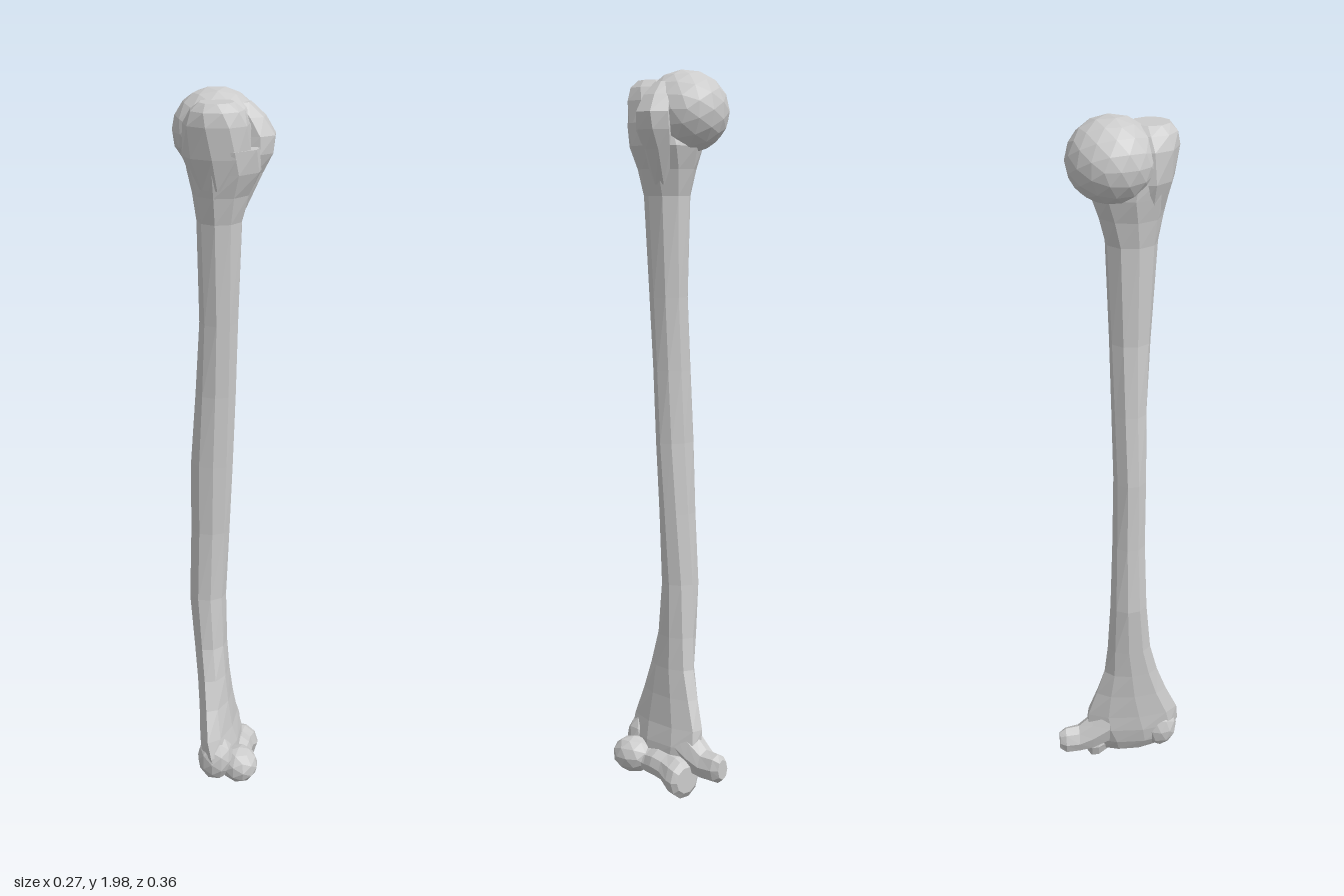
import * as THREE from 'three';

const material = new THREE.MeshStandardMaterial({ color: 0xcccccc, flatShading: true, roughness: 0.8 });

// Closed loft; each section is [height, xMin, xMax, zMin, zMax], rings twist a little as they rise
function loft(sections, sides, twist = 0) {
  const pos = [], idx = [];
  sections.forEach(([y, x0, x1, z0, z1], i) => {
    for (let j = 0; j < sides; j++) {
      const a = (j / sides) * Math.PI * 2 + i * twist;
      pos.push((x0 + x1) / 2 + Math.cos(a) * (x1 - x0) / 2, y, (z0 + z1) / 2 + Math.sin(a) * (z1 - z0) / 2);
    }
  });
  for (let i = 0; i < sections.length - 1; i++) {
    for (let j = 0; j < sides; j++) {
      const a = i * sides + j, b = i * sides + (j + 1) % sides;
      idx.push(a, a + sides, b, b, a + sides, b + sides);
    }
  }
  // End caps
  const top = (sections.length - 1) * sides;
  for (let j = 1; j < sides - 1; j++) {
    idx.push(0, j, j + 1, top, top + j + 1, top + j);
  }
  const geo = new THREE.BufferGeometry();
  geo.setAttribute('position', new THREE.Float32BufferAttribute(pos, 3));
  geo.setIndex(idx);
  const flat = geo.toNonIndexed();
  flat.computeVertexNormals();
  return flat;
}

// Loft running toward -z: sections are [-z, xMin, xMax, yMin, yMax]
const loftBack = (sections, sides) => loft(sections, sides).rotateX(-Math.PI / 2);

export function createModel() {
  const bone = new THREE.Group();
  bone.name = 'upperArmBone';
  const add = (name, geometry) => {
    const mesh = new THREE.Mesh(geometry, material);
    mesh.name = name;
    bone.add(mesh);
    return mesh;
  };
  const knob = (name, detail, center, size, turn = 0) => {
    const mesh = add(name, new THREE.IcosahedronGeometry(1, detail));
    mesh.position.set(...center);
    mesh.scale.set(...size);
    mesh.rotation.y = turn;
    return mesh;
  };

  // Shaft: bowed, flaring into the neck above and a wide blade below
  add('shaft', loft([
    [0.06, -0.02, 0.05, -0.06, 0.12],
    [0.10, -0.04, 0.06, -0.08, 0.165],
    [0.15, -0.05, 0.055, -0.10, 0.18],
    [0.20, -0.052, 0.042, -0.098, 0.175],
    [0.28, -0.058, 0.03, -0.07, 0.14],
    [0.36, -0.066, 0.022, -0.045, 0.112],
    [0.45, -0.077, 0.015, -0.035, 0.09],
    [0.60, -0.092, 0.012, -0.027, 0.077],
    [0.80, -0.087, 0.022, -0.02, 0.072],
    [1.00, -0.085, 0.032, -0.016, 0.075],
    [1.20, -0.07, 0.04, -0.02, 0.077],
    [1.40, -0.057, 0.047, -0.025, 0.086],
    [1.67, -0.062, 0.058, -0.036, 0.102],
    [1.74, -0.074, 0.078, -0.055, 0.115],
    [1.80, -0.09, 0.108, -0.075, 0.13],
    [1.86, -0.095, 0.108, -0.06, 0.143],
  ], 9, 0.07));

  // Greater tubercle: blunt prominence in front of the head
  add('greaterTubercle', loft([
    [1.76, -0.06, 0.06, 0.0, 0.12],
    [1.84, -0.09, 0.09, 0.0, 0.142],
    [1.92, -0.088, 0.085, 0.0, 0.153],
    [1.955, -0.07, 0.07, 0.01, 0.148],
    [1.975, -0.045, 0.045, 0.03, 0.13],
  ], 9, 0.15));

  // Lesser tubercle: ridge on the left side, running down into the neck
  add('lesserTubercle', loft([
    [1.70, 0.01, 0.062, -0.02, 0.04],
    [1.79, 0.03, 0.103, -0.05, 0.04],
    [1.84, 0.03, 0.13, -0.065, 0.045],
    [1.885, 0.03, 0.136, -0.07, 0.042],
    [1.93, 0.02, 0.108, -0.06, 0.035],
    [1.965, 0.01, 0.07, -0.04, 0.02],
  ], 7, 0.1));

  // Ball of the shoulder joint
  knob('head', 2, [-0.022, 1.89, -0.018], [0.115, 0.11, 0.118], 0.3);

  // Rounded outer joint knob, facing left
  knob('capitulum', 1, [0.068, 0.1, 0.1], [0.054, 0.052, 0.062], 0.4);

  // Spool of the hinge joint, with its larger flange toward the back
  add('trochlea', loftBack([
    [-0.075, 0.02, 0.09, 0.065, 0.125],
    [-0.04, 0.0, 0.085, 0.05, 0.13],
    [-0.01, -0.005, 0.088, 0.05, 0.135],
    [0.025, -0.01, 0.085, 0.042, 0.13],
    [0.06, -0.018, 0.09, 0.014, 0.13],
    [0.08, -0.015, 0.088, 0.012, 0.122],
    [0.092, 0.0, 0.075, 0.03, 0.105],
  ], 10));

  // Inner epicondyle: stubby process pointing back
  add('medialEpicondyle', loftBack([
    [0.03, -0.05, 0.045, 0.09, 0.23],
    [0.08, -0.048, 0.035, 0.07, 0.185],
    [0.12, -0.045, 0.025, 0.066, 0.152],
    [0.16, -0.046, 0.014, 0.066, 0.15],
    [0.178, -0.035, 0.0, 0.08, 0.138],
  ], 8));

  // Outer epicondyle: low swelling in front
  knob('lateralEpicondyle', 1, [0.005, 0.13, 0.125], [0.052, 0.07, 0.052]);

  return bone;
}
